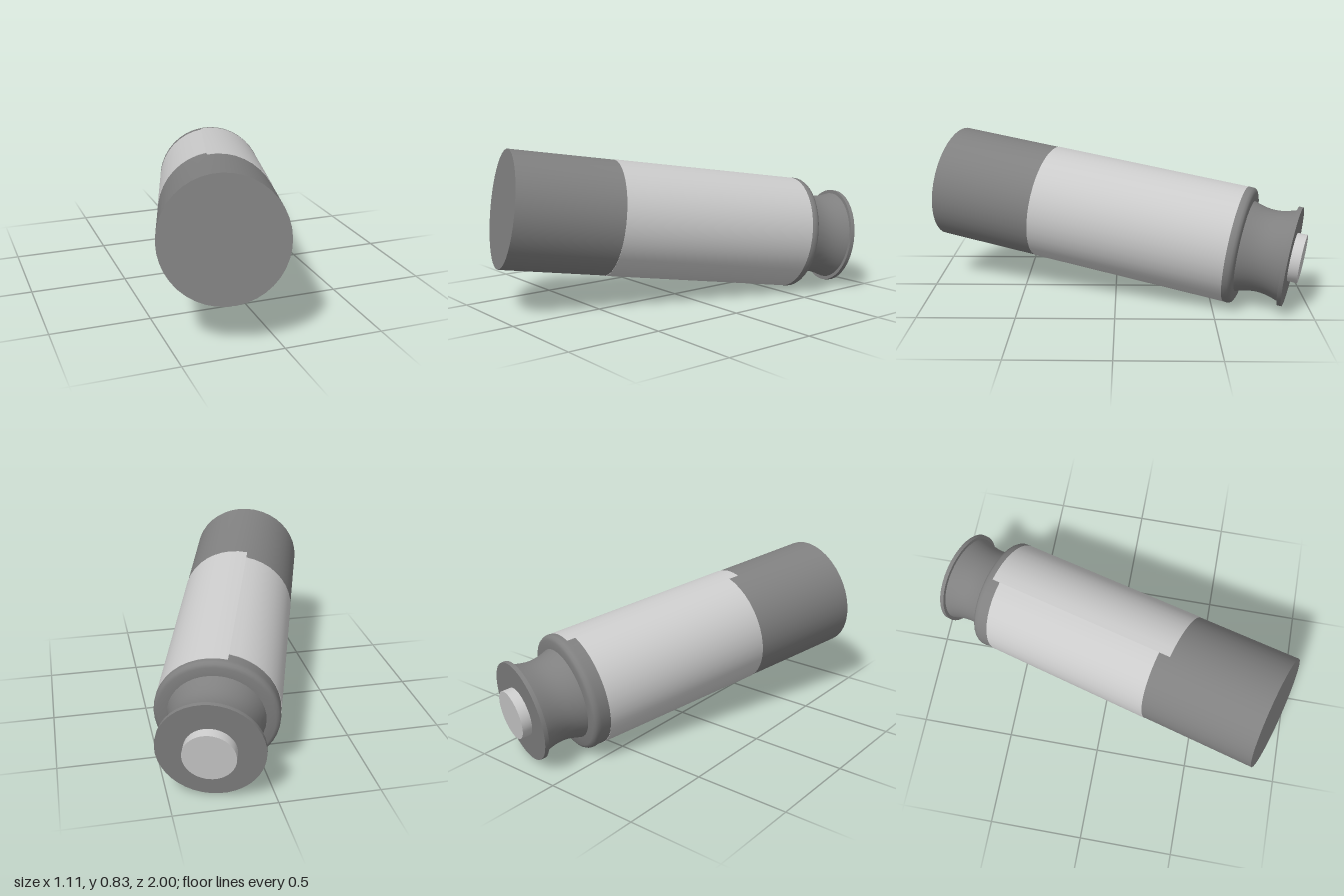
import * as THREE from 'three';
import { toCreasedNormals } from 'three/addons/utils/BufferGeometryUtils.js';

const SIDES = 40;

export function createModel() {
  const model = new THREE.Group();
  const light = new THREE.MeshStandardMaterial({ color: 0xcccccc });
  const dark = new THREE.MeshStandardMaterial({ color: 0x808080 });

  // Turned part: profile pairs are [radius, distance along the axis]
  const turned = (name, material, profile, start = 0, sweep = Math.PI * 2) => {
    const points = profile.map(([r, t]) => new THREE.Vector2(r, t));
    const segments = Math.round(SIDES * sweep / (Math.PI * 2));
    const geometry = new THREE.LatheGeometry(points, segments, start, sweep);
    const mesh = new THREE.Mesh(toCreasedNormals(geometry, 0.7), material);
    mesh.name = name;
    model.add(mesh);
  };

  // Closed can with a rounded rear rim
  turned('can', dark, [
    [0, 0], [0.305, 0], [0.305, 1.615], [0.308, 1.63], [0.307, 1.648], [0.3, 1.66], [0.285, 1.667], [0.22, 1.667],
  ]);

  // Sleeve in two halves; one is slightly shorter, leaving a step at both ends
  const sleeve = (from, to) => [[0.304, from], [0.307, from], [0.307, to], [0.304, to]];
  turned('longSleeveHalf', light, sleeve(0.56, 1.62), 0, Math.PI);
  turned('shortSleeveHalf', light, sleeve(0.62, 1.575), Math.PI, Math.PI);

  // Grooved neck
  const groove = [];
  for (let i = 0; i <= 12; i++) {
    const f = i / 12;
    groove.push([0.242 - 0.025 * Math.sin(Math.PI * f), 1.66 + 0.235 * f]);
  }
  turned('neck', dark, groove);

  // Thin end flange and contact button
  turned('flange', dark, [[0.2, 1.893], [0.26, 1.893], [0.26, 1.915], [0, 1.915]]);
  turned('button', light, [[0.127, 1.91], [0.127, 1.966], [0, 1.966]]);

  // Tilt the long axis, rolled so the sleeve seams sit near top and bottom
  const axis = new THREE.Vector3(0.297, -0.137, -0.945).normalize();
  const side = new THREE.Vector3().crossVectors(axis, new THREE.Vector3(-0.19, 1, 0)).normalize();
  const up = new THREE.Vector3().crossVectors(side, axis);
  model.quaternion.setFromRotationMatrix(new THREE.Matrix4().makeBasis(side, axis, up));
  model.position.set(-0.265, 0.535, 0.9);

  const root = new THREE.Group();
  root.name = 'batteryCell';
  model.name = 'cell';
  root.add(model);
  return root;
}
